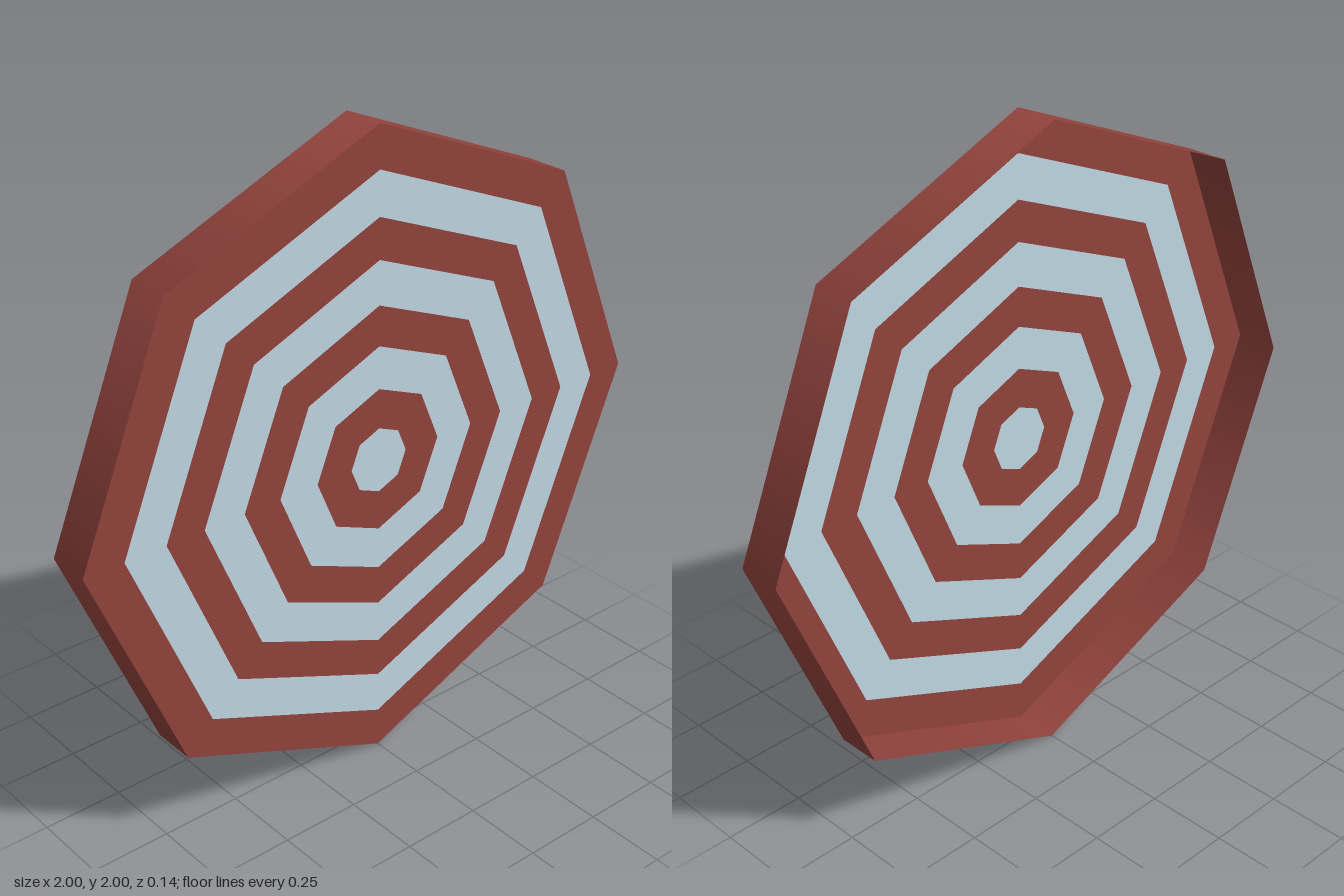
import * as THREE from 'three';

const SIDES = 8;
const DEPTH = 0.138;
// Outer radius of each band, from the rim to the centre
const RADII = [1, 0.872, 0.739, 0.615, 0.481, 0.358, 0.226, 0.102];

export function createModel() {
  const red = new THREE.MeshStandardMaterial({ color: 0x92433d, side: THREE.DoubleSide });
  red.name = 'brickRed';
  const pale = new THREE.MeshStandardMaterial({ color: 0xc0d7e2, side: THREE.DoubleSide });
  pale.name = 'paleBlue';

  const model = new THREE.Group();
  model.name = 'octagonalTarget';
  const add = (name, geometry, material) => {
    const mesh = new THREE.Mesh(geometry, material);
    mesh.name = name;
    mesh.position.y = 1;
    model.add(mesh);
    return mesh;
  };

  // Smooth-shaded rim wall, open at the back
  const wall = new THREE.CylinderGeometry(1, 1, DEPTH, SIDES, 1, true);
  wall.rotateX(Math.PI / 2);
  add('rimWall', wall, red);

  // Front face: concentric bands in alternating colours, visible from both sides
  RADII.forEach((radius, i) => {
    const inner = RADII[i + 1];
    const geometry = inner
      ? new THREE.RingGeometry(inner, radius, SIDES)
      : new THREE.CircleGeometry(radius, SIDES);
    const name = inner ? `band${i + 1}` : 'bullseye';
    add(name, geometry, i % 2 ? pale : red).position.z = DEPTH / 2;
  });

  return model;
}
